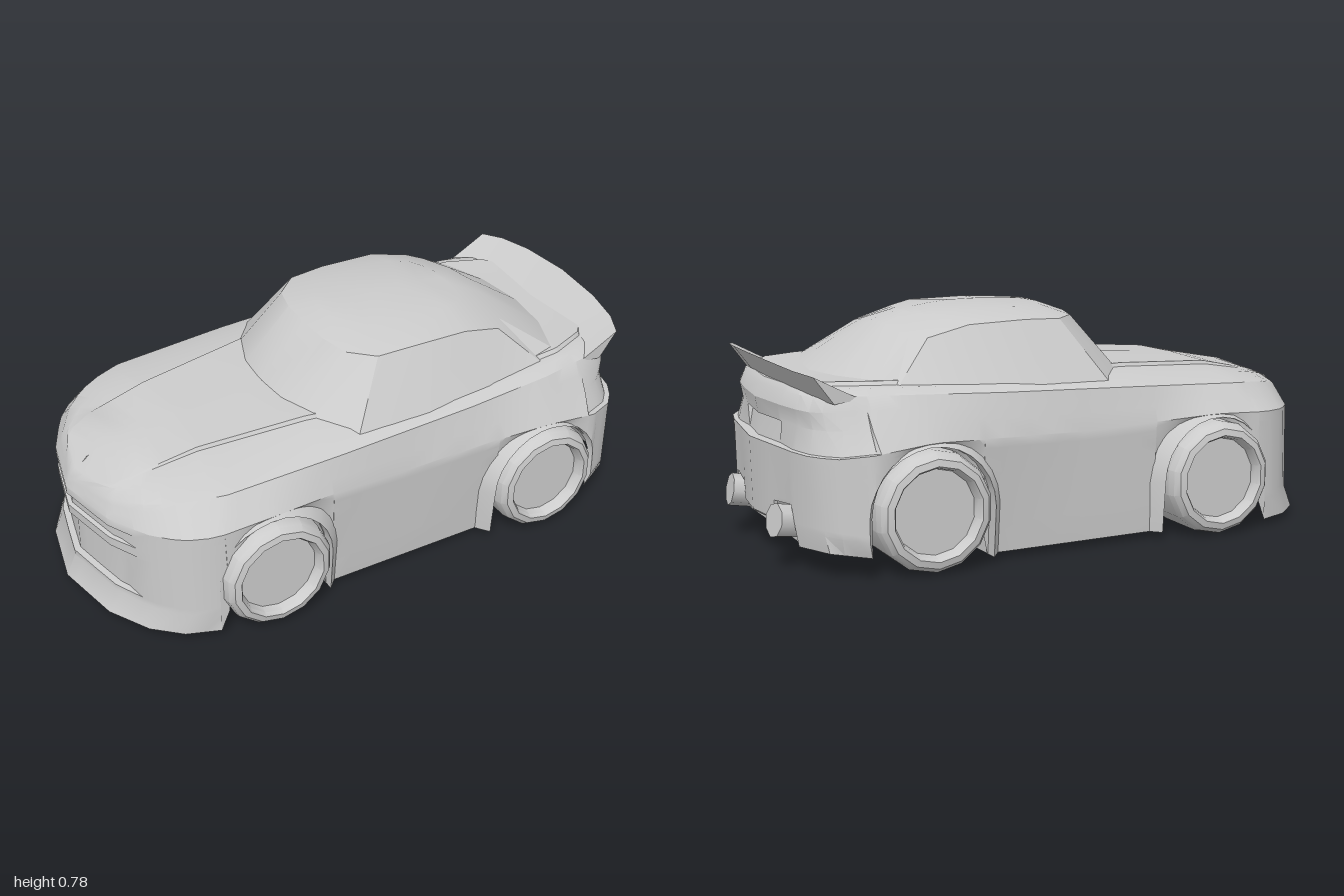
import * as THREE from 'three';
import { toCreasedNormals } from 'three/addons/utils/BufferGeometryUtils.js';

const mat = new THREE.MeshStandardMaterial({ color: 0xcccccc, side: THREE.DoubleSide });
const AXLES = [-0.47, 0.565], AXLE_Y = 0.195, ARCH_R = 0.2;

function add(parent, name, geo) {
  const mesh = new THREE.Mesh(geo, mat);
  mesh.name = name;
  parent.add(mesh);
  return mesh;
}

// Skins rows of [x, y, z] (nose to tail, stacked upwards) and mirrors them over z = 0
function skin(rows, crease = 0.5) {
  const pos = [];
  const v = p => new THREE.Vector3(...p);
  const tri = (a, b, c) => {
    if (new THREE.Triangle(v(a), v(b), v(c)).getArea() < 1e-7) return;
    pos.push(...a, ...b, ...c);
    for (const p of [a, c, b]) pos.push(p[0], p[1], -p[2]);
  };
  for (let k = 0; k + 1 < rows.length; k++)
    for (let i = 0; i + 1 < rows[k].length; i++) {
      const a = rows[k][i], b = rows[k][i + 1], c = rows[k + 1][i + 1], d = rows[k + 1][i];
      tri(a, b, c);
      tri(a, c, d);
    }
  const g = new THREE.BufferGeometry();
  g.setAttribute('position', new THREE.Float32BufferAttribute(pos, 3));
  return toCreasedNormals(g, crease);
}

// Point at fraction u of a polyline's x range
function sample(line, u) {
  const x0 = line[0][0], x = x0 + (line[line.length - 1][0] - x0) * u;
  let i = 0;
  while (i < line.length - 2 && x > line[i + 1][0]) i++;
  const a = line[i], b = line[i + 1], t = (x - a[0]) / (b[0] - a[0]);
  return [x, a[1] + (b[1] - a[1]) * t, a[2] + (b[2] - a[2]) * t];
}

const mix = (A, B, t, shift = p => p) =>
  A.map((a, i) => shift(a.map((n, j) => n + (B[i][j] - n) * t)));

// Half outlines of the body, from the sill up to the hood line
const sill = [[-1, .025, 0], [-.95, .025, .24], [-.87, .025, .38], [-.78, .025, .46], [-.67, .025, .5],
  [-.28, .025, .46], [.36, .025, .46], [.76, .07, .5], [.88, .085, .44], [.93, .08, .3], [.9333, .21, .275],
  [.949, .2, .16], [.9513, .13, .14], [.97, .13, 0]];
const skirt = [[-.965, .1, 0], [-.92, .1, .22], [-.85, .1, .37], [-.77, .1, .46], [-.67, .1, .505], [-.28, .1, .465],
  [.36, .1, .465], [.76, .12, .52], [.88, .14, .46], [.9405, .14, .3], [.98, .14, 0]];
const waist = [[-.97, .385, 0], [-.92, .385, .22], [-.85, .39, .36], [-.77, .395, .45], [-.67, .4, .495],
  [-.47, .41, .5], [-.28, .4, .48], [0, .39, .475], [.36, .4, .49], [.56, .41, .512], [.76, .39, .515],
  [.86, .38, .47], [.92, .38, .4], [.945, .38, .3], [.985, .38, 0]];
const shoulder = [[-.955, .42, 0], [-.9, .44, .2], [-.82, .465, .32], [-.72, .485, .39], [-.6, .495, .43],
  [-.2, .515, .445], [.3, .535, .445], [.6, .55, .435], [.8, .555, .405], [.88, .55, .36], [.92, .55, .25], [.945, .55, 0]];
const hoodLine = [[-.91, .455, 0], [-.885, .468, .17], [-.8, .495, .2], [-.6, .53, .22], [-.22, .555, .27], [.3, .56, .38],
  [.7, .575, .36], [.85, .575, .3], [.9, .57, .15], [.915, .57, 0]];
const ridge = [[-.89, .475, 0], [-.8, .51, 0], [-.6, .548, 0], [-.3, .57, 0], [.3, .58, 0], [.91, .578, 0]];

function bodyGeometry() {
  // Stations along the sill, with the wheel arches cut into it
  const stations = [-1, -.99, -.975, -.95, -.935, -.9, -.87, -.82, -.78, -.72].map(x => [x, 0]);
  const arch = cx => {
    stations.push([cx - ARCH_R, 0]);
    for (let i = 0; i <= 14; i++) {
      const a = Math.PI * (1 - i / 14);
      stations.push([cx + ARCH_R * Math.cos(a), AXLE_Y + ARCH_R * Math.sin(a)]);
    }
    stations.push([cx + ARCH_R, 0]);
  };
  arch(AXLES[0]);
  for (const x of [-.2, -.1, 0, .1, .2, .3]) stations.push([x, 0]);
  arch(AXLES[1]);
  for (const x of [.8, .84, .88, .91, .93, .9333, .949, .9513, .97]) stations.push([x, 0]);

  const L = [sill, skirt, waist, shoulder, hoodLine, ridge].map(line =>
    stations.map(([x]) => sample(line, (x + 1) / 1.97)));
  L[0].forEach((p, i) => { p[1] = Math.max(p[1], stations[i][1]); });
  for (const k of [1, 2]) L[k].forEach((p, i) => { p[1] = Math.max(p[1], L[k - 1][i][1]); });

  const inset = d => p => (p[0] < -.8 && p[2] < .27 ? [p[0] + d, p[1], p[2]] : p);
  const ledge = p => (p[0] > .75 ? [p[0] - .014, p[1], p[2] * .975] : p);
  const plate = p => (p[0] > .85 && p[2] < .165 ? [p[0] - .03, p[1], p[2]] : ledge(p));
  const front = (t, f) => mix(L[1], L[2], t, f), back = (t, f) => mix(L[2], L[3], t, f);
  const raise = p => [p[0], p[1] + .012 * THREE.MathUtils.clamp((p[0] + .88) / .3, 0, 1), p[2] * .97];
  return skin([
    L[0], L[1],
    front(.07), front(.08, inset(.022)), front(.6, inset(.028)), front(.63),   // lower grille
    front(.74), front(.75, inset(.015)), front(.89, inset(.015)), front(.9),   // upper slot
    L[2], back(.01, plate), back(.42, plate), back(.43, ledge),                // bumper ledge, plate recess
    back(.75, p => [p[0] + (p[0] > .8 ? .008 : 0), p[1], p[2]]),
    L[3], mix(L[3], L[4], .5, p => [p[0], p[1] + .008, p[2]]), L[4], L[4].map(raise), L[5],
  ]);
}

// Cabin rings: glass base, roof edge, inner roof, roof centre line
const cabin = [
  [[-.28, .55, 0], [-.27, .545, .13], [-.23, .53, .27], [-.12, .515, .41], [.15, .525, .425], [.4, .535, .415],
    [.64, .55, .385], [.72, .565, .35], [.765, .575, .18], [.785, .575, 0]],
  [[-.09, .74, 0], [-.085, .74, .12], [-.06, .735, .22], [.02, .735, .295], [.15, .74, .305], [.35, .735, .305],
    [.49, .7, .295], [.53, .7, .24], [.55, .725, .1], [.56, .73, 0]],
  [[-.02, .768, 0], [-.015, .768, .06], [.01, .766, .12], [.06, .765, .17], [.15, .769, .18], [.35, .767, .18],
    [.42, .755, .16], [.45, .755, .1], [.46, .757, .05], [.47, .757, 0]],
  [[-.02, .768, 0], [.02, .773, 0], [.06, .776, 0], [.1, .778, 0], [.18, .781, 0], [.28, .781, 0],
    [.36, .774, 0], [.41, .767, 0], [.45, .76, 0], [.47, .757, 0]],
];

// Wing section swept across the tail: rear foot, tip, upper face, front foot
function spoilerGeometry() {
  const cols = [[0, 0, 0], [.2, -.012, -.005], [.33, -.035, -.015], [.41, -.07, -.025]];
  const row = (x, y) => cols.map(([z, dx, dy]) => [x + dx, y + dy, z]);
  const rows = [row(.915, .56), row(.98, .648), row(.895, .603), row(.83, .57), row(.915, .56)];
  rows.forEach((r, k) => r.push(k === 2 || k === 3 ? rows[0][3] : r[3]));
  return skin(rows.reverse(), 0.4);
}

// Flared arch lip: runs from a leg at the door over the wheel and fades into the bumper
function flareGeometry(cx, dir, lipZ) {
  const ring = (r, z, fade) => {
    const cols = [[cx + dir * r, .025, z - .015]];
    for (let i = 0; i <= 12; i++) {
      const a = i / 12 * Math.PI * .9;
      cols.push([cx + dir * r * Math.cos(a), AXLE_Y + r * Math.sin(a), z - fade * Math.max(0, i - 8) / 4]);
    }
    return cols;
  };
  return skin([ring(ARCH_R, .4, 0), ring(ARCH_R + .004, lipZ, .02), ring(ARCH_R + .05, .46, .02)]);
}

export function createModel() {
  const car = new THREE.Group();
  car.name = 'car';
  add(car, 'bodyShell', bodyGeometry());
  add(car, 'cabin', skin(cabin, 0.45));
  add(car, 'spoiler', spoilerGeometry());
  add(car, 'frontArchFlares', flareGeometry(AXLES[0], 1, .508));
  add(car, 'rearArchFlares', flareGeometry(AXLES[1], -1, .52));
  add(car, 'diffuserBar', new THREE.BoxGeometry(.02, .045, .58)).position.set(.9, .1, 0);

  // Wheels: open on the inside, recessed disc outside
  const profile = [[.193, .32], [.193, .5], [.187, .525], [.172, .543], [.15, .548], [.142, .535], [.136, .51], [0, .51]];
  const wheel = toCreasedNormals(
    new THREE.LatheGeometry(profile.map(p => new THREE.Vector2(...p)), 14).rotateX(Math.PI / 2), 0.5);
  for (const side of [1, -1])
    AXLES.forEach((x, i) => {
      const mesh = add(car, i ? 'rearWheel' : 'frontWheel', wheel);
      mesh.position.set(x, AXLE_Y, 0);
      if (side < 0) mesh.rotation.y = Math.PI;
    });

  // Exhaust pipes, rising towards the tail
  for (const [z0, z1] of [[.19, .215], [-.19, -.25]]) {
    const a = new THREE.Vector3(.62, .09, z0), b = new THREE.Vector3(.992, .16, z1);
    const pipe = add(car, 'exhaustPipe', new THREE.CylinderGeometry(.055, .045, a.distanceTo(b), 8));
    pipe.position.copy(a).lerp(b, .5);
    pipe.quaternion.setFromUnitVectors(new THREE.Vector3(0, 1, 0), b.sub(a).normalize());
  }
  return car;
}
